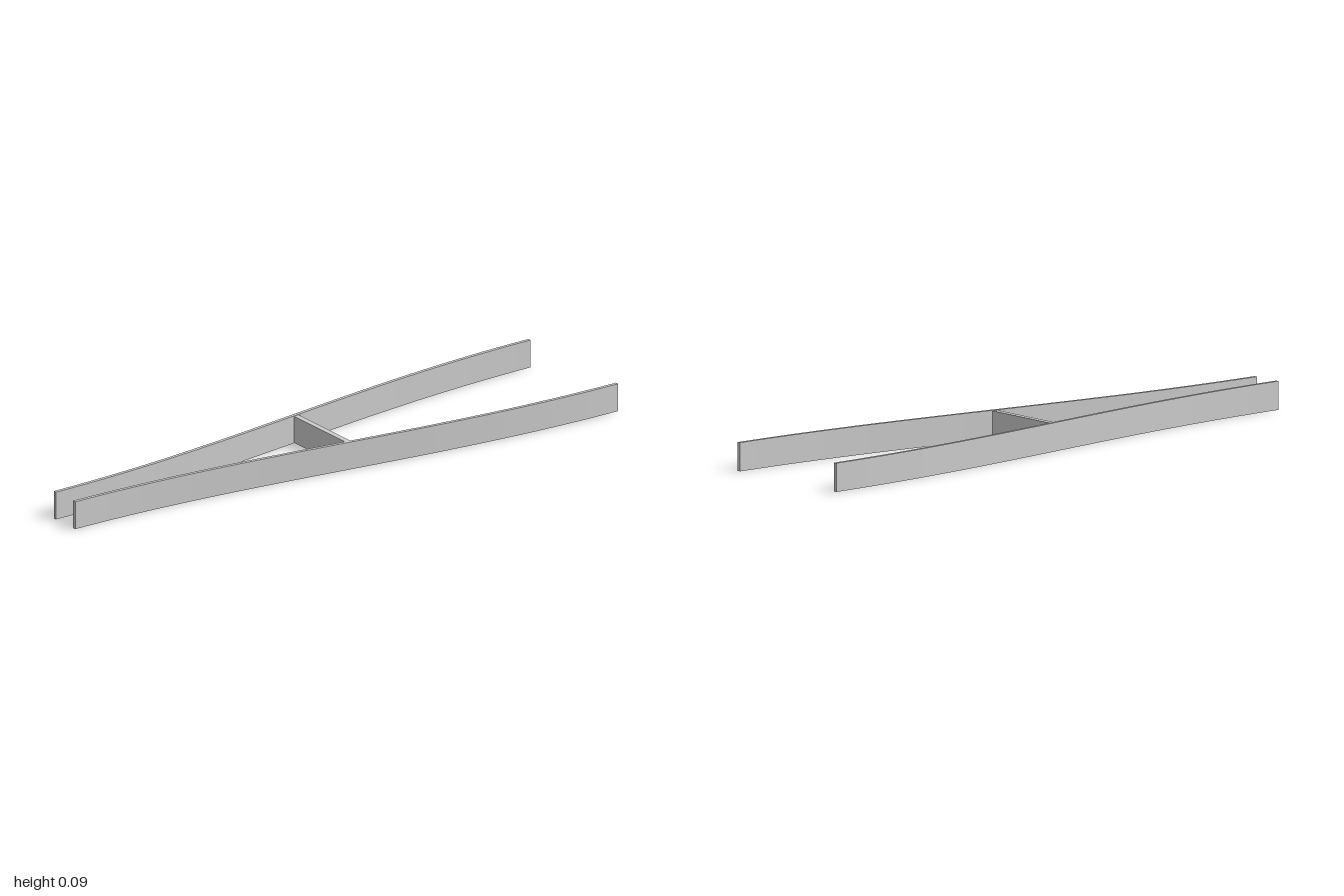
import * as THREE from 'three';

const HEIGHT = 0.093;
const THICK = 0.012;
const STEPS = 32;

// Outer edge of a rail: an S-curve, wide at the back and narrow at the front
const outerX = (z) => 0.15 - 0.092 * Math.sin((z * Math.PI) / 2);

// Upright curved plank, extruded from its plan outline
function rail(side, material) {
  const outer = [];
  const inner = [];
  for (let i = 0; i <= STEPS; i++) {
    const z = -1 + (2 * i) / STEPS;
    outer.push(new THREE.Vector2(side * outerX(z), -z));
    inner.unshift(new THREE.Vector2(side * (outerX(z) - THICK), -z));
  }
  const geometry = new THREE.ExtrudeGeometry(new THREE.Shape([...outer, ...inner]), {
    depth: HEIGHT,
    bevelEnabled: false,
  });
  geometry.rotateX(-Math.PI / 2);
  const mesh = new THREE.Mesh(geometry, material);
  mesh.name = side > 0 ? 'leftRail' : 'rightRail';
  return mesh;
}

export function createModel() {
  const group = new THREE.Group();
  group.name = 'railFrame';
  const material = new THREE.MeshStandardMaterial({ color: 0xcccccc });

  for (const side of [1, -1]) group.add(rail(side, material));

  // Cross panel joining the rails near the middle
  const panel = new THREE.Mesh(new THREE.BoxGeometry(0.284, HEIGHT - 0.003, 0.02), material);
  panel.position.set(0, HEIGHT / 2, -0.013);
  panel.name = 'crossPanel';
  group.add(panel);

  return group;
}
